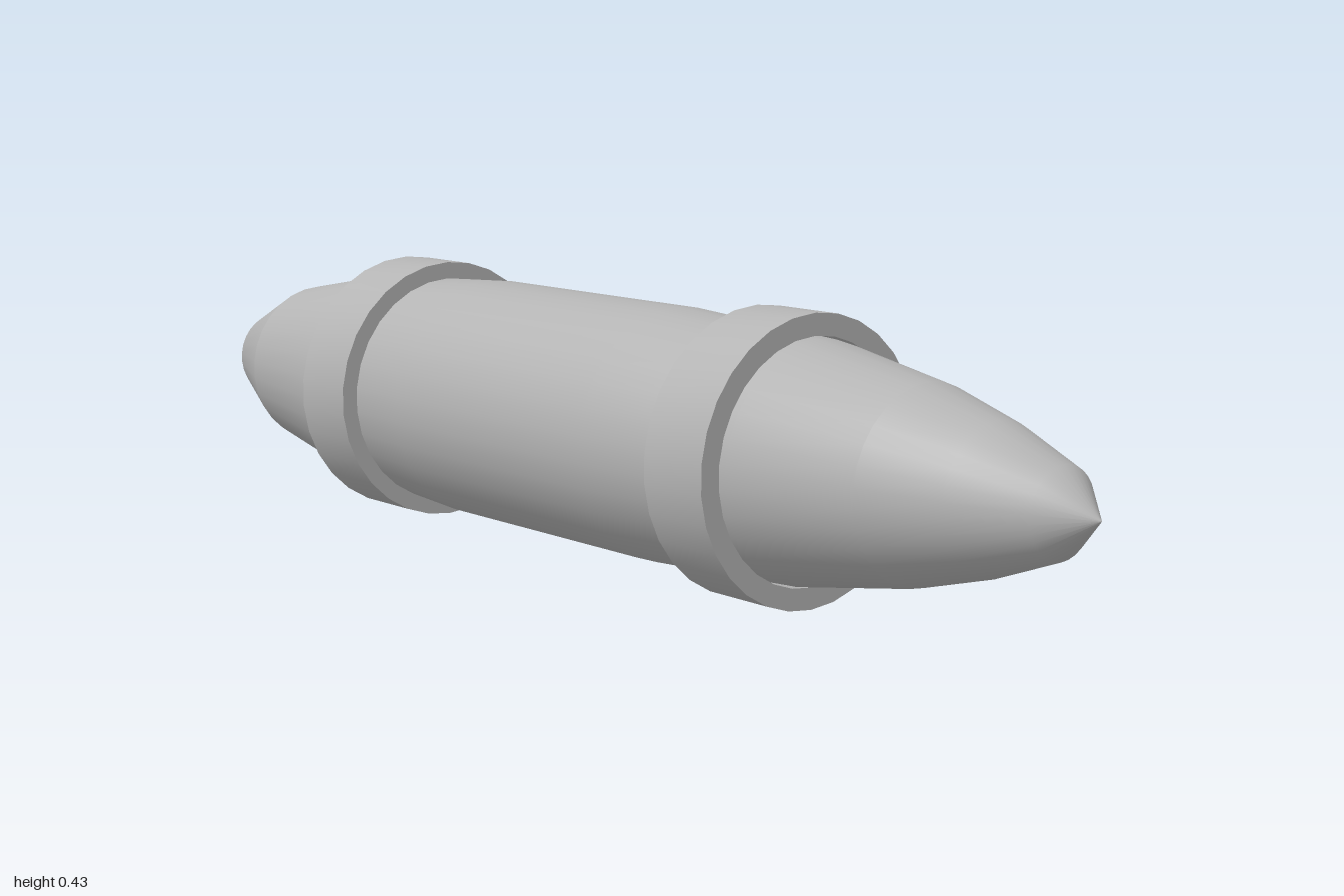
import * as THREE from 'three';
import { toCreasedNormals } from 'three/addons/utils/BufferGeometryUtils.js';

const SIDES = 30;
const AXIS_HEIGHT = 0.215;

// Revolve [radius, z] points, listed from back to front, around the z axis
function turned(points) {
  const profile = points.map(([r, z]) => new THREE.Vector2(r, z));
  return new THREE.LatheGeometry(profile, SIDES).rotateX(Math.PI / 2);
}

export function createModel() {
  const model = new THREE.Group();
  const grey = new THREE.MeshStandardMaterial({ color: 0xb4b4b4 });
  grey.name = 'grey';

  function add(name, geometry) {
    const mesh = new THREE.Mesh(geometry, grey);
    mesh.name = name;
    mesh.position.y = AXIS_HEIGHT;
    model.add(mesh);
  }

  // Tapered hull in three smooth sections with a soft seam at each nose
  add('rearNose', turned([[0, -1], [0.075, -0.94], [0.138, -0.795]]));
  add('hull', turned([
    [0.138, -0.795], [0.177, -0.58], [0.195, -0.27],
    [0.195, 0.19], [0.178, 0.49], [0.142, 0.7],
  ]));
  add('frontNose', turned([[0.142, 0.7], [0.107, 0.825], [0.064, 0.937], [0, 1]]));

  // Raised collars around the hull
  const inner = 0.182, outer = 0.215, half = 0.06;
  const collar = toCreasedNormals(turned([
    [inner, -half], [outer, -half], [outer, half], [inner, half], [inner, -half],
  ]), 0.6);
  add('frontCollar', collar.clone().translate(0, 0, 0.422));
  add('rearCollar', collar.clone().translate(0, 0, -0.456));

  return model;
}
